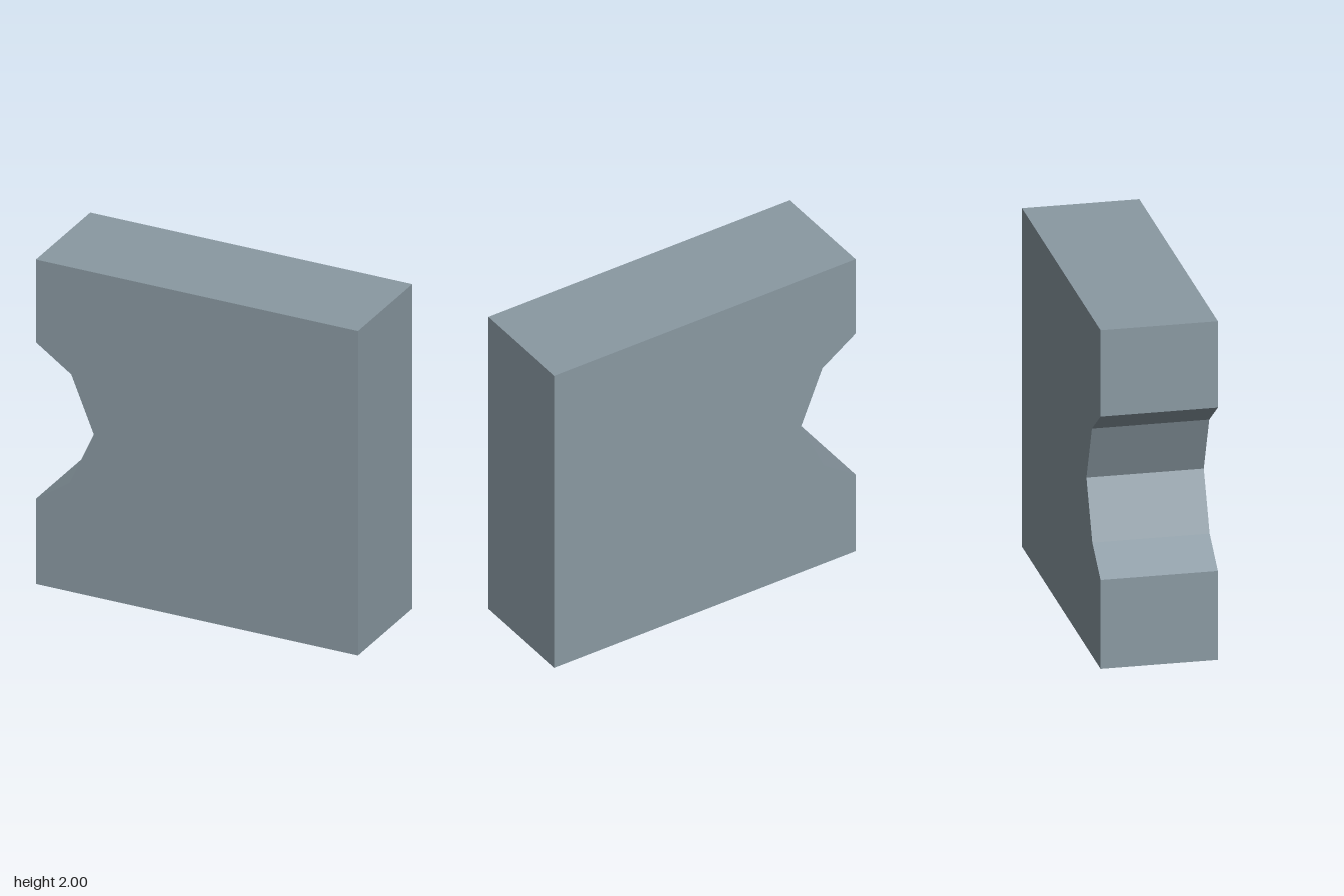
import * as THREE from 'three';

export function createModel() {
  const group = new THREE.Group();
  group.name = 'notchedBlock';

  const slate = new THREE.MeshStandardMaterial({ color: 0x8a99a2 });
  slate.name = 'slateGrey';

  // Square outline with a faceted notch in the right-hand (-x) edge
  const outline = [
    [-1, 0], [1, 0], [1, 2], [-1, 2],
    [-1, 1.49], [-0.78, 1.34], [-0.64, 1], [-0.79, 0.67], [-1, 0.525],
  ].map(([x, y]) => new THREE.Vector2(x, y));

  // Straight extrusion, centred on z
  const depth = 0.666;
  const geometry = new THREE.ExtrudeGeometry(new THREE.Shape(outline), {
    depth, bevelEnabled: false,
  });
  geometry.translate(0, 0, -depth / 2);

  const block = new THREE.Mesh(geometry, slate);
  block.name = 'block';
  group.add(block);
  return group;
}
